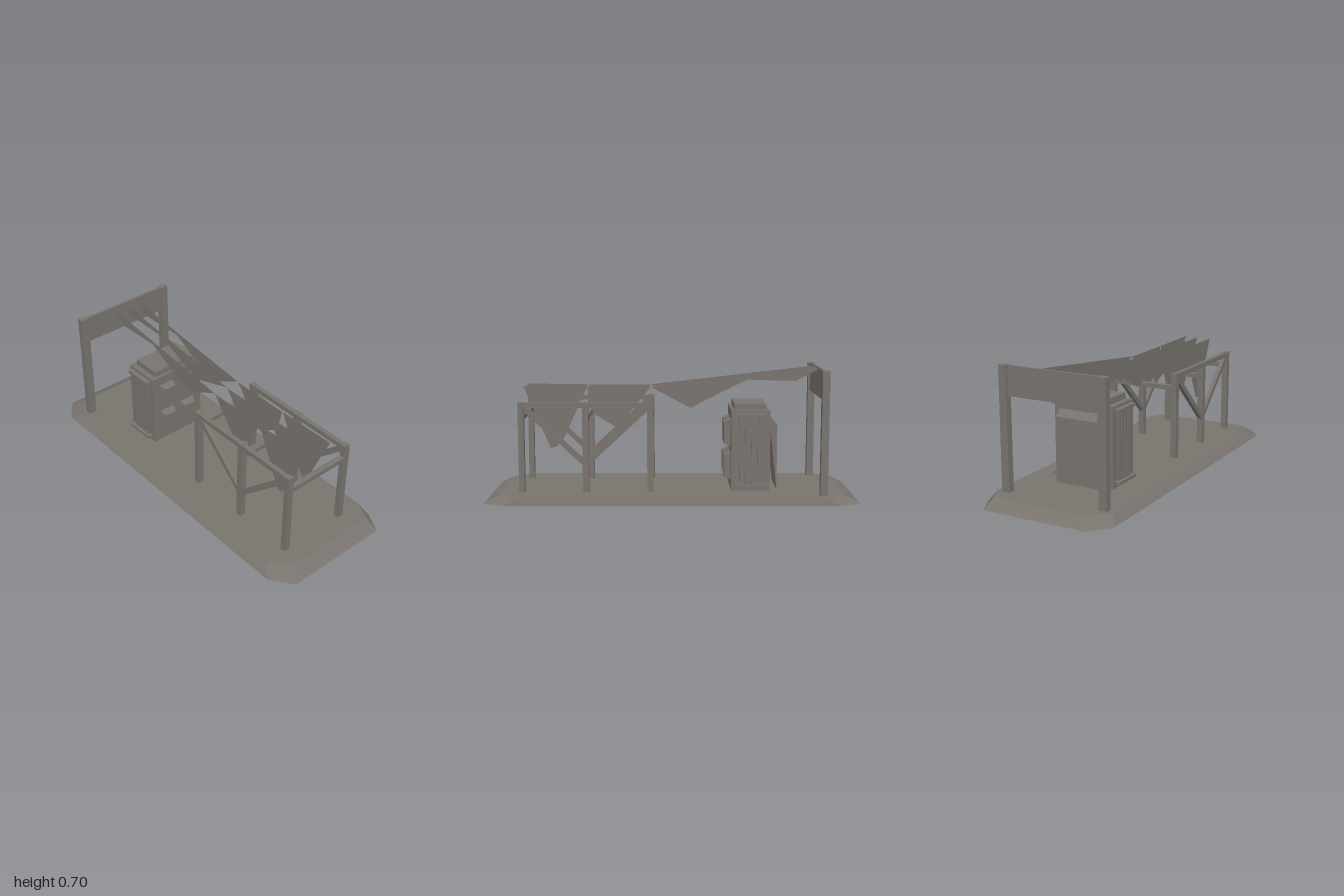
import * as THREE from 'three';

const stone = new THREE.MeshStandardMaterial({ color: 0x78736d, side: THREE.DoubleSide });
stone.name = 'weatheredGrey';

export function createModel() {
  const root = new THREE.Group();

  const add = (name, geometry, parent = root) => {
    const mesh = new THREE.Mesh(geometry, stone);
    mesh.name = name;
    parent.add(mesh);
    return mesh;
  };
  const group = (name) => {
    const g = new THREE.Group();
    g.name = name;
    root.add(g);
    return g;
  };
  // Box given by its limits on each axis
  const box = (name, [x0, x1], [y0, y1], [z0, z1], parent) =>
    add(name, new THREE.BoxGeometry(x1 - x0, y1 - y0, z1 - z0), parent)
      .position.set((x0 + x1) / 2, (y0 + y1) / 2, (z0 + z1) / 2);

  // Sloped sides between two [x, z] outlines, closed on top and open below
  const frustum = (low, high, height) => {
    const pos = [];
    const n = low.length;
    const lo = (i) => [low[i % n][0], 0, low[i % n][1]];
    const hi = (i) => [high[i % n][0], height, high[i % n][1]];
    for (let i = 0; i < n; i++) {
      pos.push(...lo(i), ...hi(i), ...lo(i + 1), ...lo(i + 1), ...hi(i), ...hi(i + 1));
      if (i > 0 && i < n - 1) pos.push(...hi(0), ...hi(i + 1), ...hi(i));
    }
    const g = new THREE.BufferGeometry();
    g.setAttribute('position', new THREE.Float32BufferAttribute(pos, 3));
    g.computeVertexNormals();
    return g;
  };

  // Platform: hollow plate with cut corners and sloped skirt
  const outline = (x, cx, zBack, czBack, zFront, czFront) => [
    [-cx, zBack], [cx, zBack], [x, czBack], [x, czFront],
    [cx, zFront], [-cx, zFront], [-x, czFront], [-x, czBack]];
  add('platform', frustum(
    outline(1, 0.885, -0.373, -0.313, 0.373, 0.286),
    outline(0.92, 0.82, -0.358, -0.305, 0.328, 0.232), 0.043));
  const floor = 0.042;

  // Gate: two posts and a high board
  const gate = group('gate');
  for (const z of [[0.25, 0.295], [-0.322, -0.278]]) {
    box('gatePost', [-0.826, -0.787], [floor, 0.705], z, gate);
  }
  box('gateBoard', [-0.812, -0.797], [0.547, 0.704], [-0.28, 0.252], gate);

  // Cabinet body and stepped cap
  const cabinet = group('cabinet');
  box('cabinetBody', [-0.53, -0.32], [floor, 0.48], [-0.187, 0.158], cabinet);
  box('cabinetCap', [-0.51, -0.338], [0.48, 0.512], [-0.155, 0.125], cabinet);

  // Side grilles: rails above and below four upright bars
  for (const [face, dir] of [[0.158, 1], [-0.187, -1]]) {
    const span = (d) => [face, face + dir * d].sort((a, b) => a - b);
    box('grilleRail', [-0.51, -0.34], [0.45, 0.465], span(0.03), cabinet);
    box('grilleRail', [-0.51, -0.34], [0.065, 0.08], span(0.03), cabinet);
    for (let i = 0; i < 4; i++) {
      const x = -0.487 + i * 0.033;
      box('grilleBar', [x, x + 0.024], [0.08, 0.45], span(0.012), cabinet);
    }
  }

  // Four bevelled door panels
  const rect = (a, b) => [[-a, -b], [a, -b], [a, b], [-a, b]];
  for (const y of [0.169, 0.351]) {
    for (const z of [0.063, -0.081]) {
      const g = frustum(rect(0.076, 0.047), rect(0.06, 0.035), 0.037);
      g.rotateZ(-Math.PI / 2);
      add('doorPanel', g, cabinet).position.set(-0.32, y, z);
    }
  }

  // Flat piece drawn in the xy plane, starting at z
  const plate = (points, z, depth) => {
    const shape = new THREE.Shape(points.map(([x, y]) => new THREE.Vector2(x, y)));
    return new THREE.ExtrudeGeometry(shape, { depth, bevelEnabled: false }).translate(0, 0, z);
  };

  // Tapered rear cover of the cabinet
  add('rearCover', plate(
    [[-0.53, 0.435], [-0.57, 0.4], [-0.57, 0.045], [-0.53, 0.41]], -0.157, 0.272), cabinet);

  // Open frame: legs, long rails, cross beams and V braces
  const frame = group('frame');
  const legs = [[0.1, 0.133], [0.447, 0.48], [0.793, 0.824]];
  for (const z of [[0.166, 0.2], [-0.227, -0.193]]) {
    for (const x of legs) box('frameLeg', x, [floor, 0.53], z, frame);
    box('longRail', [0.13, 0.796], [0.5, 0.527], [z[0] + 0.004, z[1] - 0.004], frame);
    for (const s of [-1, 1]) {
      const x = 0.463;
      add('brace', plate([[x, 0.175], [x + s * 0.335, 0.487], [x + s * 0.335, 0.525], [x, 0.213]],
        z[0] + 0.005, 0.024), frame);
    }
  }
  for (const x of legs) box('crossBeam', x, [0.435, 0.46], [-0.194, 0.167], frame);

  // Three rows of ragged cloth; depth scales how far the tatters hang
  const cloths = group('cloths');
  const rows = [[0.073, 1, 0], [-0.012, 0.8, -0.03], [-0.091, 1, 0.01]];
  for (const [z, depth, shift] of rows) {
    const hang = (x, y, top) => [x + shift, top - (top - y) * depth];
    const cloth = (points) => {
      add('cloth', new THREE.ShapeGeometry(new THREE.Shape(
        points.map(([x, y]) => new THREE.Vector2(x, y)))).translate(0, 0, z), cloths);
    };
    cloth([[-0.81, 0.704], hang(-0.685, 0.633, 0.69), hang(-0.57, 0.635, 0.677),
      hang(-0.42, 0.64, 0.66), hang(-0.11, 0.485, 0.625), [0.115, 0.598]]);
    cloth([[0.12, 0.595], hang(0.29, 0.375, 0.595), hang(0.42, 0.455, 0.595), [0.465, 0.597]]);
    cloth([[0.47, 0.597], hang(0.62, 0.27, 0.6), hang(0.655, 0.262, 0.6), [0.81, 0.602]]);
  }

  return root;
}
